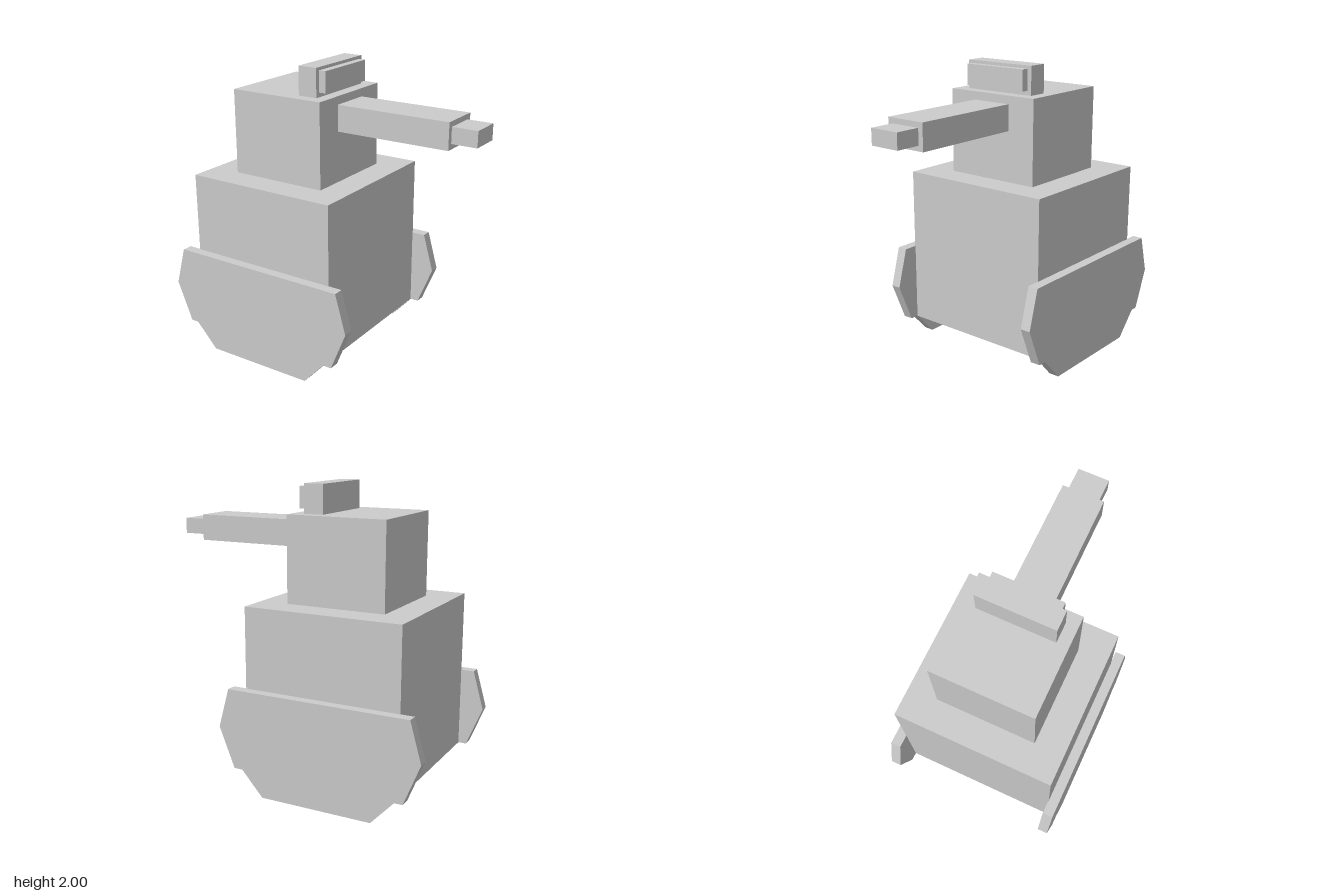
import * as THREE from 'three';

const material = new THREE.MeshStandardMaterial({ color: 0xcccccc, flatShading: true });

// Box given by its extents in x and y and its half depth in z
function block(name, x0, x1, y0, y1, halfZ) {
  const mesh = new THREE.Mesh(new THREE.BoxGeometry(x1 - x0, y1 - y0, halfZ * 2), material);
  mesh.name = name;
  mesh.position.set((x0 + x1) / 2, (y0 + y1) / 2, 0);
  return mesh;
}

export function createModel() {
  const model = new THREE.Group();
  model.name = 'turretVehicle';

  // Stacked hull and turret, gun along +x, sight on the roof
  model.add(
    block('hull', -0.835, 0.24, 0.165, 1.24, 0.54),
    block('turret', -0.635, 0.045, 1.24, 1.81, 0.34),
    block('gunBarrel', 0.045, 0.83, 1.58, 1.755, 0.14),
    block('muzzle', 0.83, 1, 1.615, 1.72, 0.105),
    block('sightHousing', -0.17, -0.035, 1.81, 2, 0.26),
    block('sightLens', -0.035, 0.015, 1.84, 1.98, 0.23)
  );

  // Flat track plates on both sides of the hull
  const outline = [
    [-0.68, 0], [0.09, 0], [0.24, 0.165], [0.3, 0.165], [0.41, 0.435],
    [0.335, 0.7], [-0.925, 0.7], [-1, 0.435], [-0.89, 0.165], [-0.835, 0.165],
  ].map(([x, y]) => new THREE.Vector2(x, y));
  const thickness = 0.07;
  const trackGeometry = new THREE.ExtrudeGeometry(new THREE.Shape(outline), {
    depth: thickness, bevelEnabled: false,
  });
  for (const [name, z] of [['frontTrack', 0.537], ['backTrack', -0.537 - thickness]]) {
    const track = new THREE.Mesh(trackGeometry, material);
    track.name = name;
    track.position.z = z;
    model.add(track);
  }

  return model;
}
